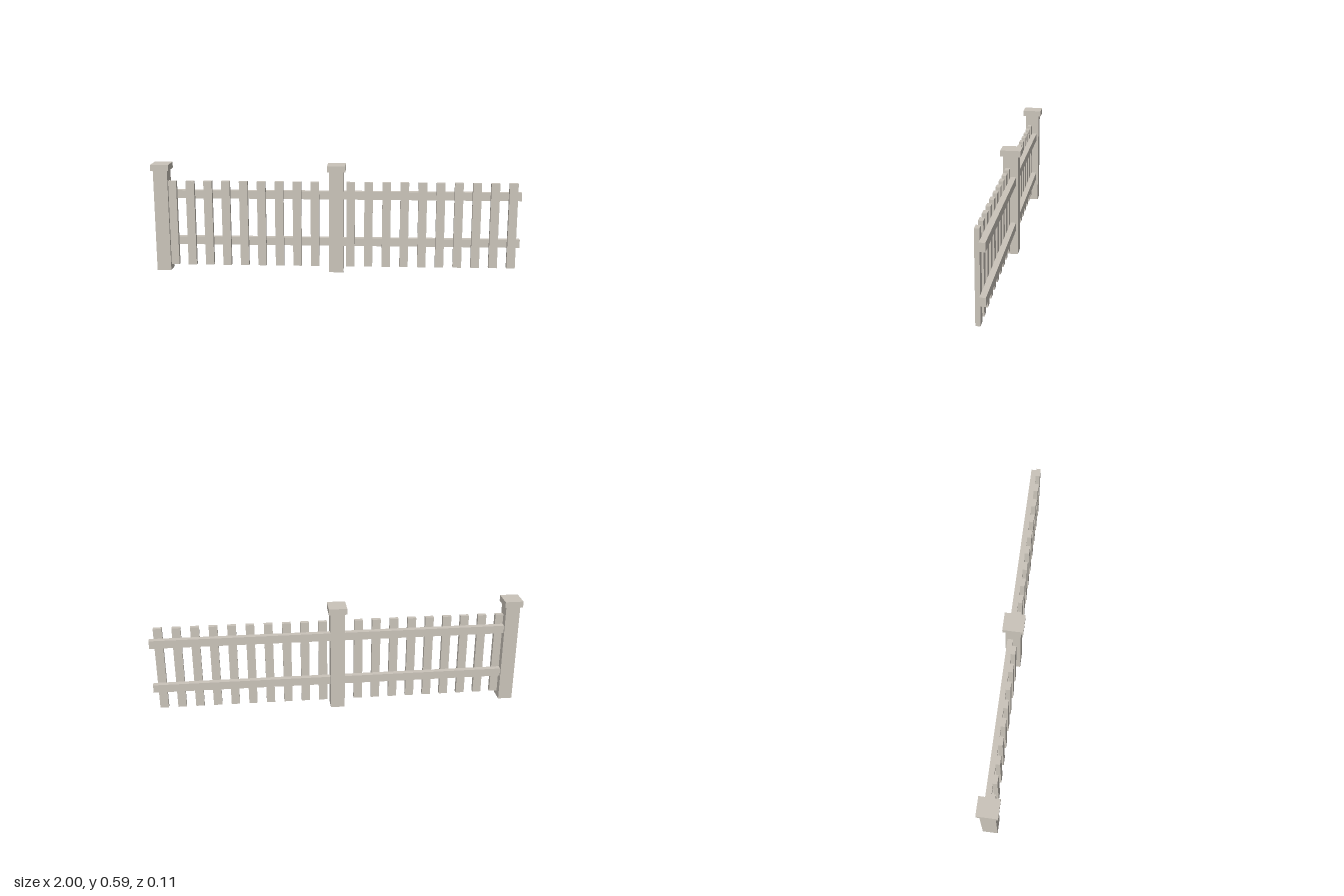
import * as THREE from 'three';

export function createModel() {
  const fence = new THREE.Group();
  fence.name = 'picketFence';
  const wood = new THREE.MeshStandardMaterial({ color: 0xcac4ba });
  wood.name = 'weatheredWood';

  // Box given by its minimum and maximum on each axis
  const board = (name, [x0, x1], [y0, y1], [z0, z1]) => {
    const mesh = new THREE.Mesh(new THREE.BoxGeometry(x1 - x0, y1 - y0, z1 - z0), wood);
    mesh.position.set((x0 + x1) / 2, (y0 + y1) / 2, (z0 + z1) / 2);
    mesh.name = name;
    fence.add(mesh);
  };
  const around = (centre, width) => [centre - width / 2, centre + width / 2];

  // Square posts with flat caps
  for (const x of [-0.951, 0.002]) {
    board('post', around(x, 0.077), [0, 0.56], [-0.04, 0.041]);
    board('postCap', around(x, 0.098), [0.559, 0.592], [-0.054, 0.055]);
  }

  // Horizontal rails behind the pickets
  for (const y of [0.14, 0.4]) {
    board('rail', [-0.951, 1], [y, y + 0.044], [-0.029, 0.001]);
  }

  // Evenly spaced pickets, leaving out the place taken by the middle post
  for (let i = 0; i < 20; i++) {
    if (i === 9) continue;
    board('picket', around(-0.892 + i * 0.0971, 0.046), [0.03, 0.499], [0.001, 0.025]);
  }
  return fence;
}
